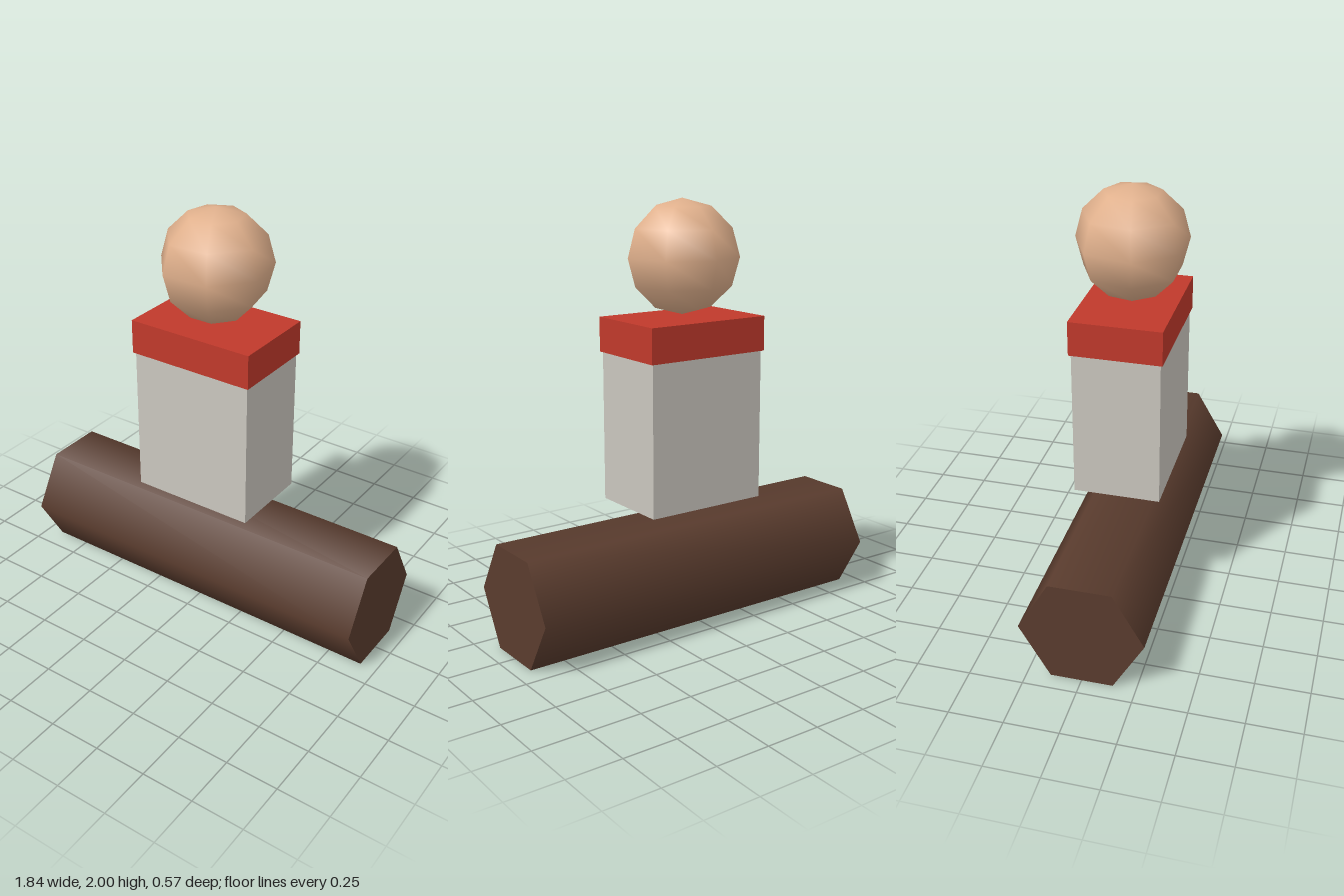
import * as THREE from 'three';

function makeMaterial(name, color) {
  const material = new THREE.MeshStandardMaterial({ color });
  material.name = name;
  return material;
}

export function createModel() {
  const model = new THREE.Group();
  const add = (name, geometry, material, y) => {
    const mesh = new THREE.Mesh(geometry, material);
    mesh.name = name;
    mesh.position.y = y;
    model.add(mesh);
  };

  // Six-sided log lying along x, flat side down, smooth-shaded around
  const log = new THREE.CylinderGeometry(0.287, 0.287, 1.84, 6);
  log.rotateZ(Math.PI / 2);
  add('log', log, makeMaterial('brown bark', 0x5a3c2e), 0.249);

  // Floating torso block with a slightly wider collar slab on top
  add('torso', new THREE.BoxGeometry(0.612, 0.71, 0.408), makeMaterial('pale grey', 0xcac6be), 0.941);
  add('collar', new THREE.BoxGeometry(0.632, 0.163, 0.428), makeMaterial('red', 0xc0392b), 1.378);

  // Seven-sided head with one corner pointing back
  const head = new THREE.SphereGeometry(0.265, 7, 6, -Math.PI / 2);
  add('head', head, makeMaterial('skin', 0xe0b08c), 1.735);

  return model;
}
